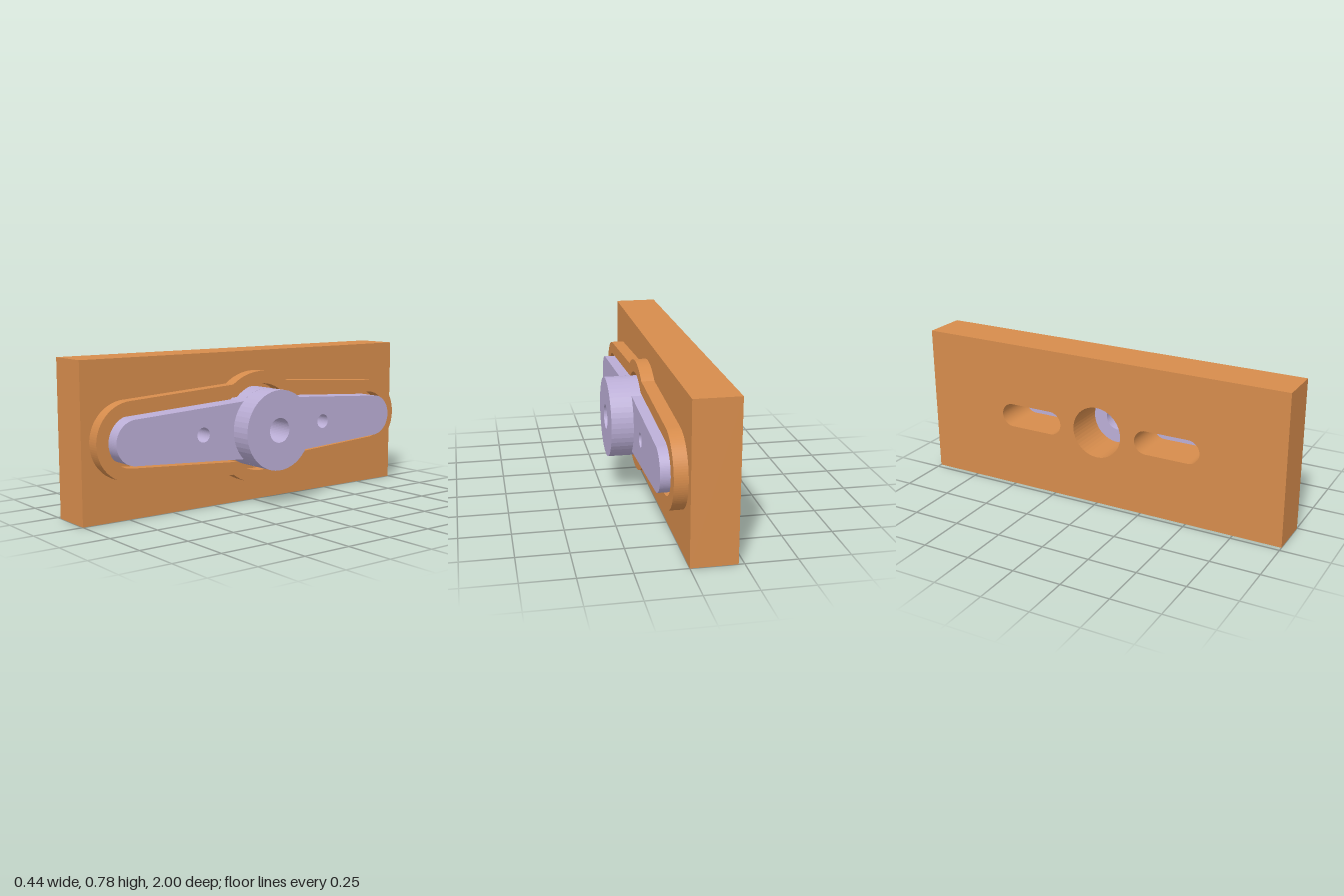
import * as THREE from 'three';

const MID = 0.39; // height of the hub axis

// Double-armed outline: rounded tips joined by tapering edges to a central disc
function hornOutline(PathType, tipZ, tipR, hubR, neck) {
  const p = new PathType();
  const a = Math.asin(neck / hubR);
  const t = Math.PI / 2 - 0.06;
  p.absarc(tipZ, 0, tipR, -t, t, false);
  p.absarc(0, 0, hubR, a, Math.PI - a, false);
  p.absarc(-tipZ, 0, tipR, Math.PI - t, Math.PI + t, false);
  p.absarc(0, 0, hubR, Math.PI + a, 2 * Math.PI - a, false);
  p.closePath();
  return p;
}

function circle(PathType, c, r) {
  const p = new PathType();
  p.absarc(c, 0, r, 0, Math.PI * 2, false);
  return p;
}

function slot(c, half, r) {
  const p = new THREE.Path();
  p.absarc(c + half, 0, r, -Math.PI / 2, Math.PI / 2, false);
  p.absarc(c - half, 0, r, Math.PI / 2, Math.PI * 1.5, false);
  p.closePath();
  return p;
}

// Extrude a side-on shape from x0 to x1
function slab(name, shape, holes, x0, x1, material) {
  shape.holes.push(...holes);
  const g = new THREE.ExtrudeGeometry(shape, { depth: x1 - x0, bevelEnabled: false, curveSegments: 24 });
  g.rotateY(Math.PI / 2);
  g.translate(x0, MID, 0);
  const mesh = new THREE.Mesh(g, material);
  mesh.name = name;
  return mesh;
}

export function createModel() {
  const orange = new THREE.MeshStandardMaterial({ color: 0xd68c4c });
  orange.name = 'orange';
  const lilac = new THREE.MeshStandardMaterial({ color: 0xbbaed6 });
  lilac.name = 'lilac';
  const { Shape, Path } = THREE;
  const model = new THREE.Group();
  model.name = 'hornMount';

  // Block with a central bore and two slots
  const blockShape = new Shape([[-1, -MID], [1, -MID], [1, MID], [-1, MID]]
    .map(([x, y]) => new THREE.Vector2(x, y)));
  model.add(slab('block', blockShape,
    [circle(Path, 0, 0.134), slot(0.388, 0.114, 0.062), slot(-0.388, 0.114, 0.062)],
    -0.222, 0, orange));

  // Raised rim around the horn
  model.add(slab('rim', hornOutline(Shape, 0.764, 0.193, 0.288, 0.23),
    [hornOutline(Path, 0.765, 0.128, 0.225, 0.166)], 0, 0.066, orange));

  // Two-armed horn with screw holes, and its hub
  const horn = new THREE.Group();
  horn.name = 'horn';
  horn.add(slab('arms', hornOutline(Shape, 0.767, 0.11, 0.205, 0.147),
    [circle(Path, 0, 0.063), circle(Path, 0.388, 0.037), circle(Path, -0.388, 0.037)],
    0.001, 0.11, lilac));
  horn.add(slab('hub', circle(Shape, 0, 0.205), [circle(Path, 0, 0.063)], 0.11, 0.222, lilac));
  model.add(horn);
  return model;
}
